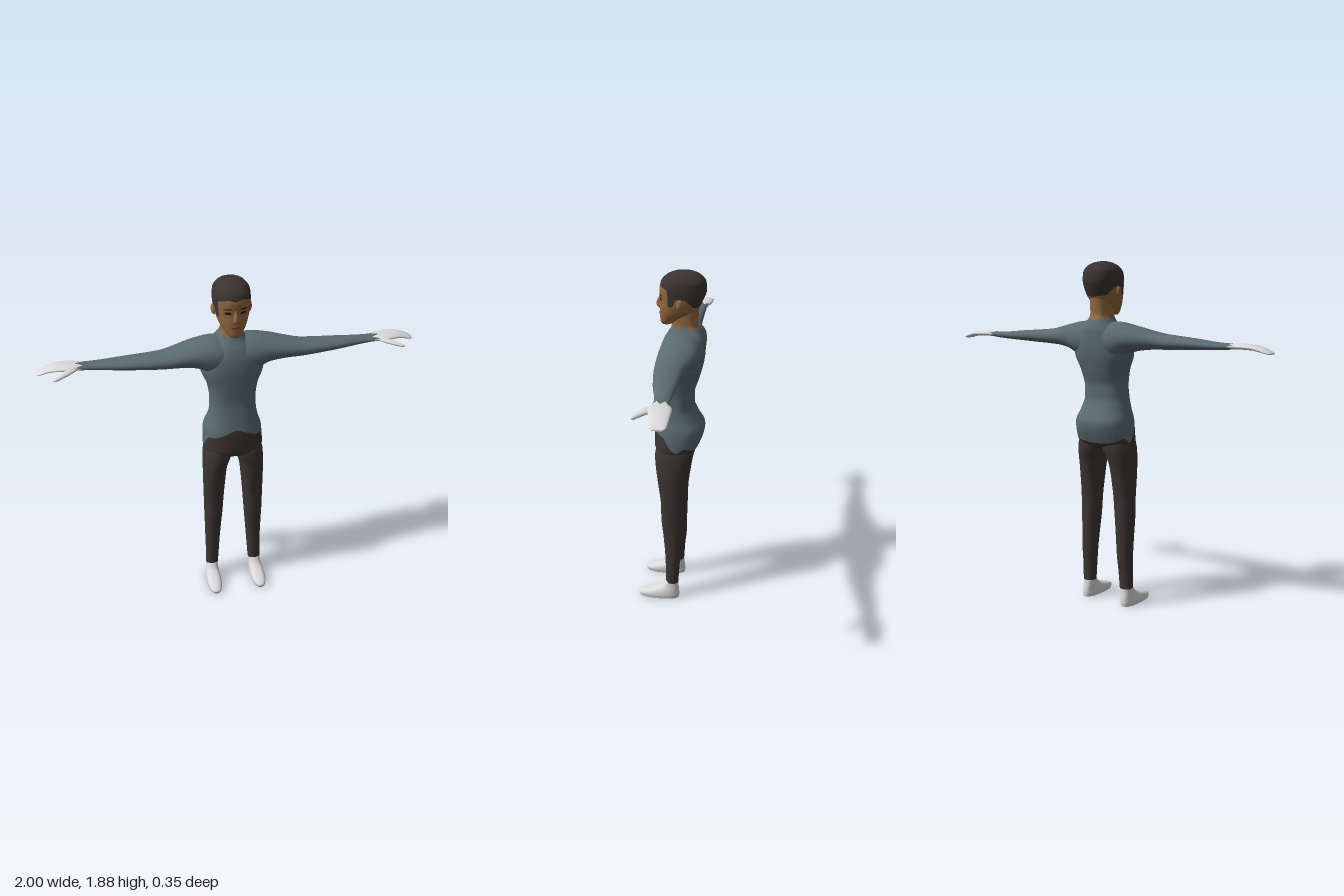
import * as THREE from 'three';

const mat = (name, color, side = THREE.FrontSide) => {
  const m = new THREE.MeshStandardMaterial({ color, side });
  m.name = name;
  return m;
};

// Smooth interpolation without overshoot through rows [s, a0, a1, b0, b1]
function sample(keys, s) {
  const last = keys.length - 1;
  let k = 0;
  while (k < last - 1 && s > keys[k + 1][0]) k++;
  const h = keys[k + 1][0] - keys[k][0];
  const t = THREE.MathUtils.clamp((s - keys[k][0]) / h, 0, 1);
  return [1, 2, 3, 4].map((c) => {
    const sec = (i) => (keys[i + 1][c] - keys[i][c]) / (keys[i + 1][0] - keys[i][0]);
    const tan = (i) => {
      if (i === 0) return sec(0);
      if (i === last) return sec(last - 1);
      const p = sec(i - 1), q = sec(i);
      return p * q <= 0 ? 0 : (2 * p * q) / (p + q);
    };
    const t2 = t * t, t3 = t2 * t;
    return (2 * t3 - 3 * t2 + 1) * keys[k][c] + (t3 - 2 * t2 + t) * h * tan(k)
      + (3 * t2 - 2 * t3) * keys[k + 1][c] + (t3 - t2) * h * tan(k + 1);
  });
}

// A rounded tube surface along y, or along x when alongX is set
const surface = (keys, power = 2, alongX = false) => ({
  keys, power,
  at(phi, s) {
    const [a0, a1, b0, b1] = sample(keys, s);
    const bend = (v) => Math.sign(v) * Math.abs(v) ** (2 / power);
    const a = (a0 + a1) / 2 + ((a1 - a0) / 2) * bend(Math.sin(phi));
    const b = (b0 + b1) / 2 + ((b1 - b0) / 2) * bend(Math.cos(phi));
    return alongX ? [s, b, a] : [a, s, b];
  },
});

// The band of a surface between two limits, each a number or a function of the angle
function band(surf, lo, hi, { n = 48, rows = 28, capLo, capHi, ease } = {}) {
  const limit = (f, phi) => (typeof f === 'function' ? f(phi) : f);
  const pos = [], idx = [];
  for (let j = 0; j <= rows; j++) {
    const t = ease ? 1 - (1 - j / rows) ** 2 : j / rows;
    for (let i = 0; i < n; i++) {
      const phi = (i / n) * Math.PI * 2 - Math.PI;
      const l = limit(lo, phi);
      pos.push(...surf.at(phi, l + (limit(hi, phi) - l) * t));
    }
  }
  for (let j = 0; j < rows; j++) for (let i = 0; i < n; i++) {
    const p = j * n + i, q = j * n + ((i + 1) % n);
    idx.push(p, q, q + n, p, q + n, p + n);
  }
  const cap = (j, up) => {
    const base = pos.length / 3, c = [0, 0, 0];
    for (let i = 0; i < n; i++) for (let k = 0; k < 3; k++) {
      const v = pos[(j * n + i) * 3 + k];
      pos.push(v);
      c[k] += v / n;
    }
    pos.push(...c);
    for (let i = 0; i < n; i++) {
      const p = base + i, q = base + ((i + 1) % n);
      idx.push(...(up ? [p, q, base + n] : [q, p, base + n]));
    }
  };
  if (capLo) cap(0, false);
  if (capHi) cap(rows, true);
  const g = new THREE.BufferGeometry();
  g.setAttribute('position', new THREE.Float32BufferAttribute(pos, 3));
  g.setIndex(idx);
  g.computeVertexNormals();
  return g;
}

function mirrored(geometry) {
  const g = geometry.clone().scale(-1, 1, 1);
  const ix = g.index;
  for (let i = 0; i < ix.count; i += 3) {
    const v = ix.getX(i);
    ix.setX(i, ix.getX(i + 1));
    ix.setX(i + 1, v);
  }
  g.computeVertexNormals();
  return g;
}

// Piecewise-linear edge, symmetric about the front: rows [angle from front, height]
const edge = (rows) => (phi) => {
  const p = Math.abs(phi);
  let k = 0;
  while (k < rows.length - 2 && p > rows[k + 1][0]) k++;
  const [x0, y0] = rows[k], [x1, y1] = rows[k + 1];
  return y0 + (y1 - y0) * Math.min(1, (p - x0) / (x1 - x0));
};
const zigzag = (phi, teeth) => Math.abs((((phi / Math.PI + 1) * teeth) % 2) - 1);

export function createModel() {
  const shirt = mat('slate shirt', 0x5b6b71);
  const trousers = mat('dark trousers', 0x3d3534);
  const hairColor = mat('dark hair', 0x3b3332);
  const skin = mat('brown skin', 0x94693f);
  const pale = mat('pale glove and shoe', 0xdadada);
  const dark = mat('eye and brow', 0x241c1a, THREE.DoubleSide);
  const lip = mat('lip', 0x6e4630, THREE.DoubleSide);

  const model = new THREE.Group();
  const add = (name, geometry, material) => {
    const m = new THREE.Mesh(geometry, material);
    m.name = name;
    model.add(m);
  };
  const addPair = (name, geometry, material) => {
    add('left' + name, geometry, material);
    add('right' + name, mirrored(geometry), material);
  };

  // Trunk: hips, shirt and neck share one surface
  const trunk = surface([
    [0.872, -0.06, 0.06, -0.06, 0.03], [0.9, -0.14, 0.14, -0.12, 0.08],
    [0.93, -0.163, 0.163, -0.146, 0.094], [1.03, -0.158, 0.158, -0.175, 0.095],
    [1.1, -0.137, 0.137, -0.14, 0.084], [1.16, -0.125, 0.125, -0.116, 0.073],
    [1.22, -0.123, 0.123, -0.117, 0.065], [1.3, -0.134, 0.134, -0.14, 0.068],
    [1.4, -0.168, 0.168, -0.165, 0.07], [1.45, -0.165, 0.165, -0.17, 0.066],
    [1.52, -0.115, 0.115, -0.17, 0.045], [1.57, -0.068, 0.068, -0.15, 0.012],
    [1.6, -0.054, 0.054, -0.132, 0.004], [1.72, -0.056, 0.056, -0.137, 0],
  ], 2.4);
  const hem = edge([[0, 1.07], [0.65, 1.02], [1.1, 1.01], [1.3, 0.97], [1.65, 0.92],
    [1.9, 0.955], [2.4, 0.93], [Math.PI, 0.92]]);
  const collar = (phi) => 1.575 + 0.03 * zigzag(phi, 8) * Math.abs(Math.sin(phi));
  add('hips', band(trunk, 0.872, hem, { capLo: true, rows: 16, n: 64 }), trousers);
  add('shirtBody', band(trunk, hem, collar, { rows: 50, n: 64 }), shirt);
  add('neck', band(trunk, collar, 1.71, { rows: 10 }), skin);

  // Arms: sleeve and hand meet along a ragged cuff
  const arm = surface([
    [0, -0.155, 0.045, 1.38, 1.555], [0.1, -0.165, 0.055, 1.37, 1.565],
    [0.2, -0.155, 0.05, 1.412, 1.548], [0.3, -0.125, 0.045, 1.427, 1.525],
    [0.37, -0.107, 0.04, 1.43, 1.512], [0.55, -0.1, 0.015, 1.438, 1.497],
    [0.76, -0.095, -0.022, 1.45, 1.482], [0.8, -0.105, -0.015, 1.455, 1.483],
    [0.83, -0.118, -0.01, 1.456, 1.485], [0.9, -0.12, -0.022, 1.455, 1.482],
    [0.95, -0.118, -0.033, 1.447, 1.47], [0.985, -0.114, -0.036, 1.44, 1.456],
    [1, -0.1, -0.05, 1.44, 1.447],
  ], 2.1, true);
  const cuff = (phi) => 0.765 + 0.04 * zigzag(phi, 6);
  addPair('Sleeve', band(arm, 0, cuff, { rows: 36 }), shirt);
  addPair('Hand', band(arm, cuff, 1, { rows: 22, capHi: true, ease: true }), pale);
  const thumb = surface([
    [0.8, -0.06, -0.015, 1.458, 1.474], [0.83, -0.045, 0.012, 1.453, 1.475],
    [0.86, -0.02, 0.032, 1.45, 1.472], [0.89, 0.012, 0.048, 1.447, 1.466],
    [0.912, 0.034, 0.054, 1.446, 1.46], [0.92, 0.042, 0.05, 1.45, 1.456],
  ], 2, true);
  addPair('Thumb', band(thumb, 0.8, 0.92, { n: 20, rows: 14, capHi: true }), pale);

  // Legs
  const leg = surface([
    [0.1, 0.092, 0.163, -0.05, 0.02], [0.2, 0.085, 0.162, -0.056, 0.022],
    [0.3, 0.078, 0.163, -0.066, 0.027], [0.4, 0.07, 0.165, -0.067, 0.036],
    [0.5, 0.062, 0.167, -0.07, 0.047], [0.6, 0.055, 0.168, -0.073, 0.05],
    [0.7, 0.047, 0.169, -0.085, 0.063], [0.8, 0.036, 0.169, -0.102, 0.076],
    [0.86, 0.015, 0.167, -0.118, 0.083], [0.9, 0.001, 0.164, -0.125, 0.084],
    [0.95, 0.02, 0.145, -0.11, 0.07],
  ], 2.2);
  addPair('Leg', band(leg, 0.1, 0.95, { n: 36, rows: 30, capLo: true }), trousers);

  // Feet with ankles
  const foot = surface([
    [0, 0.094, 0.172, -0.054, 0.17], [0.02, 0.09, 0.175, -0.057, 0.178],
    [0.035, 0.091, 0.173, -0.056, 0.155], [0.055, 0.093, 0.168, -0.054, 0.09],
    [0.075, 0.095, 0.163, -0.051, 0.045], [0.11, 0.096, 0.16, -0.048, 0.018],
  ], 2.4);
  addPair('Foot', band(foot, 0, 0.11, { n: 40, rows: 20, capLo: true }), pale);

  // Head: face and hair meet along the hairline with sideburns
  const head = surface([
    [1.597, -0.024, 0.024, 0.01, 0.055], [1.61, -0.038, 0.038, -0.02, 0.064],
    [1.65, -0.066, 0.066, -0.09, 0.066], [1.68, -0.079, 0.079, -0.13, 0.067],
    [1.72, -0.09, 0.09, -0.153, 0.064], [1.78, -0.096, 0.096, -0.174, 0.068],
    [1.82, -0.093, 0.093, -0.17, 0.06], [1.85, -0.075, 0.075, -0.147, 0.035],
    [1.869, -0.045, 0.045, -0.11, -0.005], [1.877, -0.012, 0.012, -0.065, -0.04],
  ], 2.2);
  const hairline = edge([[0, 1.795], [0.3, 1.805], [0.98, 1.79], [1.04, 1.705], [1.3, 1.705],
    [1.37, 1.745], [1.75, 1.745], [2.3, 1.702], [Math.PI, 1.695]]);
  add('face', band(head, 1.597, hairline, { n: 96, capLo: true }), skin);
  add('hair', band(head, hairline, 1.877, { n: 96, capHi: true, ease: true }), hairColor);

  // Nose
  const nose = surface([
    [1.678, -0.008, 0.008, 0.04, 0.069], [1.688, -0.017, 0.017, 0.04, 0.08],
    [1.7, -0.014, 0.014, 0.04, 0.086], [1.75, -0.008, 0.008, 0.04, 0.067],
  ]);
  add('nose', band(nose, 1.678, 1.75, { n: 20, rows: 14, capLo: true }), skin);

  // Ears
  const ear = new THREE.SphereGeometry(1, 18, 12).scale(0.011, 0.027, 0.017);
  addPair('Ear', ear.rotateX(-0.2).rotateY(-0.3).translate(0.094, 1.722, -0.045), skin);

  // Eyes, brows and mouth: thin faces laid on the head surface
  const onFace = (cx, cy, rx, ry, tilt = 0) => {
    const g = new THREE.CircleGeometry(1, 18).scale(rx, ry, 1).rotateZ(tilt).translate(cx, cy, 0);
    const p = g.attributes.position;
    for (let i = 0; i < p.count; i++) {
      const [, a1, b0, b1] = sample(head.keys, p.getY(i));
      const r = Math.max(0, 1 - Math.abs(p.getX(i) / a1) ** head.power) ** (1 / head.power);
      p.setZ(i, (b0 + b1) / 2 + ((b1 - b0) / 2) * r + 0.002);
    }
    g.computeVertexNormals();
    return g;
  };
  addPair('Eye', onFace(0.039, 1.736, 0.016, 0.008), dark);
  addPair('Brow', onFace(0.041, 1.757, 0.021, 0.004, -0.12), dark);
  add('mouth', onFace(0, 1.655, 0.025, 0.005), lip);

  return model;
}
